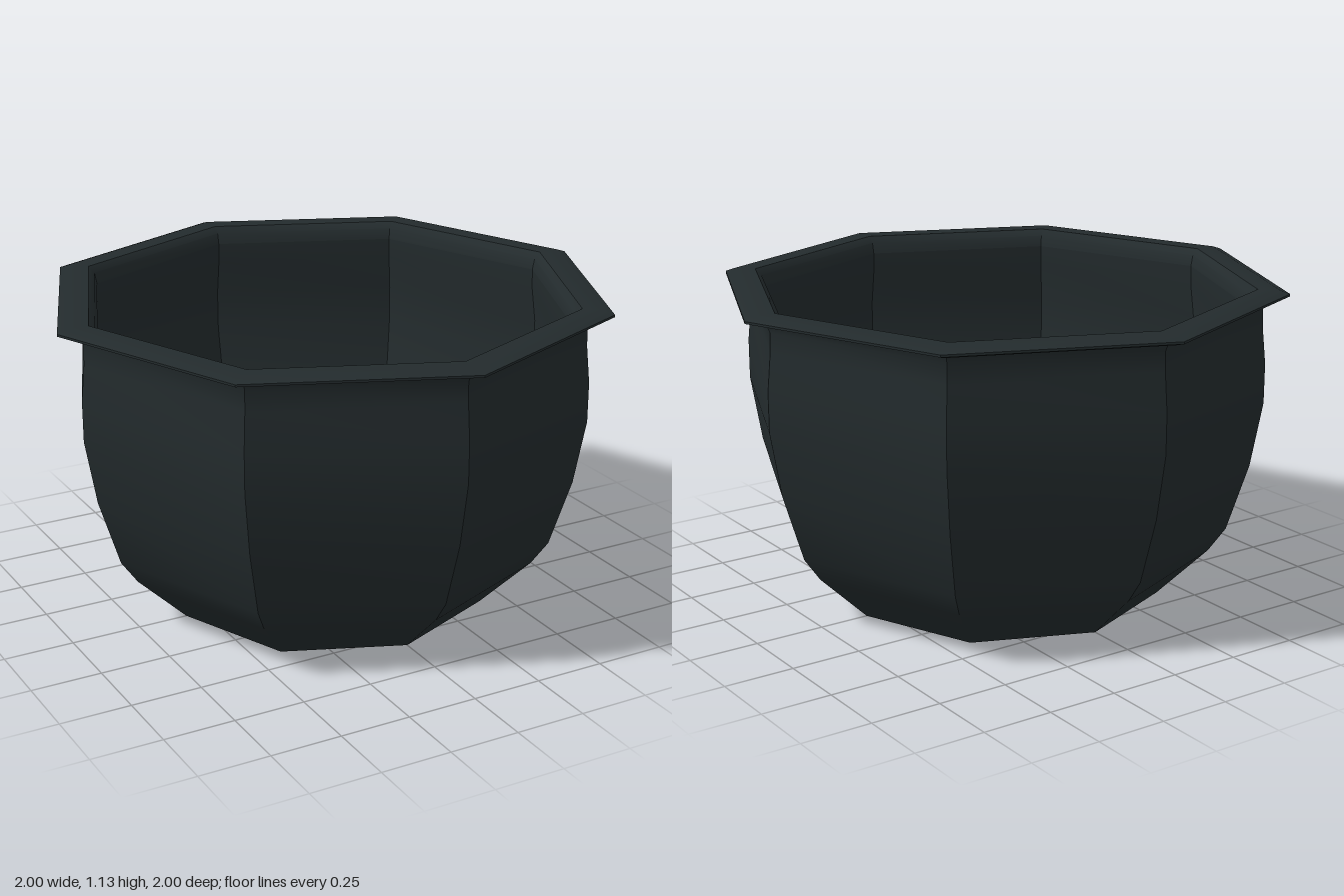
import * as THREE from 'three';
import { toCreasedNormals } from 'three/addons/utils/BufferGeometryUtils.js';

const SIDES = 8;

// Octagonal ring surface: smooth up the wall, sharp at the eight corners
function octagonal(name, profile, material) {
  const points = profile.map(([r, y]) => new THREE.Vector2(r, y));
  const geometry = toCreasedNormals(new THREE.LatheGeometry(points, SIDES), 0.6);
  const mesh = new THREE.Mesh(geometry, material);
  mesh.name = name;
  return mesh;
}

export function createModel() {
  const group = new THREE.Group();
  group.name = 'octagonalPot';
  const material = new THREE.MeshStandardMaterial({ color: 0x232b2d });

  // Base and bulging outer wall
  group.add(octagonal('outerWall', [
    [0, 0], [0.57, 0], [0.75, 0.175], [0.81, 0.26], [0.885, 0.5],
    [0.925, 0.73], [0.925, 0.87], [0.912, 1.0], [0.91, 1.07], [0.922, 1.095],
  ], material));

  // Thin flared rim
  group.add(octagonal('rim', [
    [0.922, 1.095], [0.96, 1.1], [1.0, 1.112], [1.0, 1.12],
    [0.965, 1.132], [0.89, 1.132], [0.868, 1.11], [0.86, 1.07],
  ], material));

  // Inner wall running down to the flat floor
  group.add(octagonal('innerWall', [
    [0.86, 1.07], [0.862, 1.0], [0.88, 0.87], [0.88, 0.73], [0.842, 0.5],
    [0.768, 0.27], [0.715, 0.19], [0.62, 0.1], [0, 0.1],
  ], material));

  return group;
}
